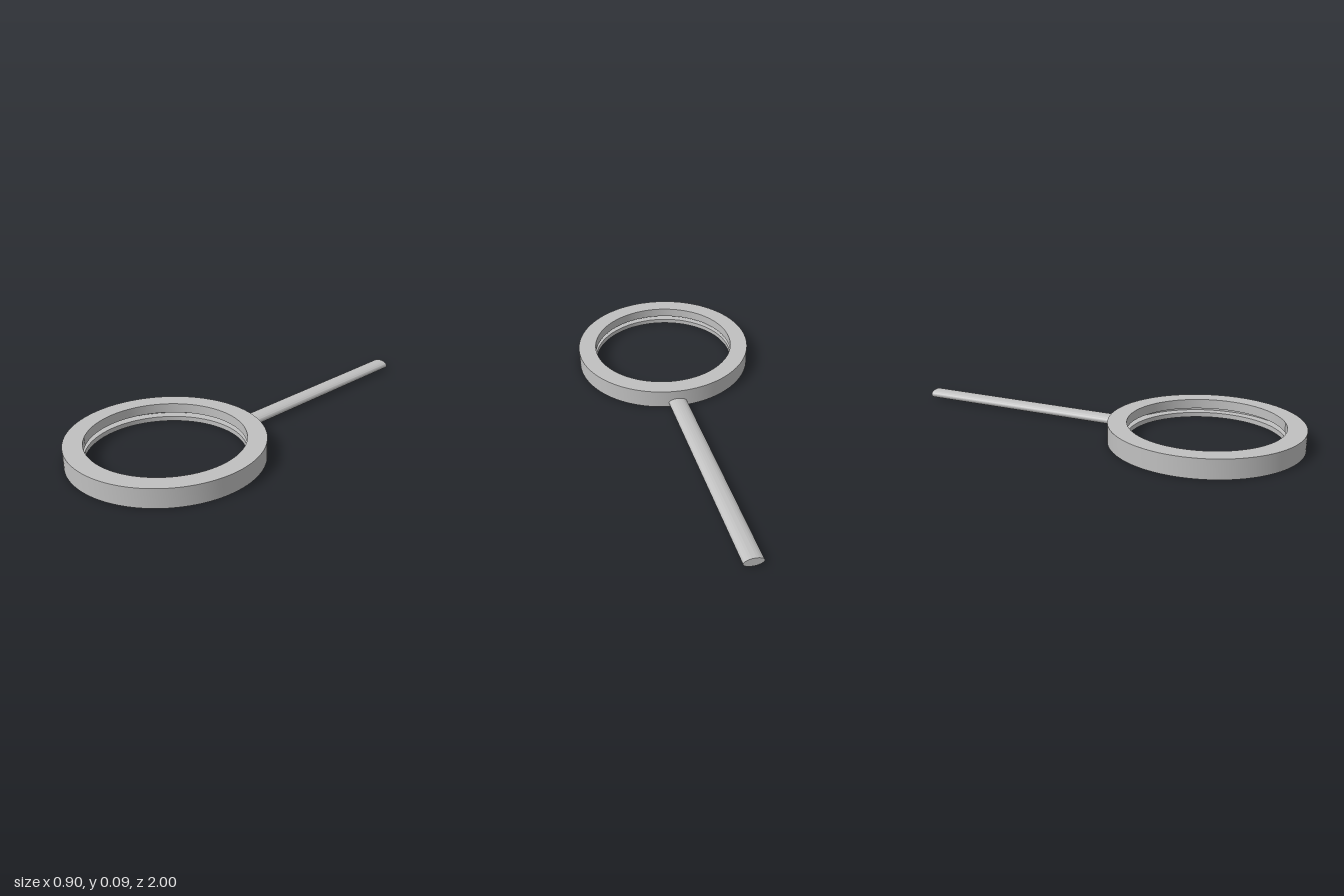
import * as THREE from 'three';
import { toCreasedNormals } from 'three/addons/utils/BufferGeometryUtils.js';

export function createModel() {
  const group = new THREE.Group();
  const grey = new THREE.MeshStandardMaterial({ color: 0xc0c0c0 });
  grey.name = 'grey';

  function addPart(name, geometry) {
    const mesh = new THREE.Mesh(toCreasedNormals(geometry, Math.PI / 6), grey);
    mesh.name = name;
    group.add(mesh);
    return mesh;
  }

  // Frame ring: a rectangular section with a lens groove on the inside
  const outer = 0.452, inner = 0.363, groove = 0.408, height = 0.091;
  const section = [
    [outer, 0], [outer, height], [inner, height], [inner, 0.045],
    [groove, 0.045], [groove, 0.023], [inner, 0.023], [inner, 0], [outer, 0],
  ].map(([r, y]) => new THREE.Vector2(r, y));
  addPart('frameRing', new THREE.LatheGeometry(section, 128)).position.z = 0.548;

  // Handle: an oval bar, slightly slanted, with its ends cut square to z
  const oval = new THREE.Shape();
  oval.absellipse(0, 0, 0.045, 0.0225, 0, Math.PI * 2);
  const bar = new THREE.ExtrudeGeometry(oval, { depth: 1.155, bevelEnabled: false, curveSegments: 48 });
  const slant = new THREE.Matrix4().set(
    1, 0, 0.043, 0,
    0, 1, 0, 0,
    0, 0, 1, 0,
    0, 0, 0, 1,
  );
  bar.applyMatrix4(slant);
  addPart('handle', bar).position.set(-0.0225, 0.0235, -1);

  return group;
}
